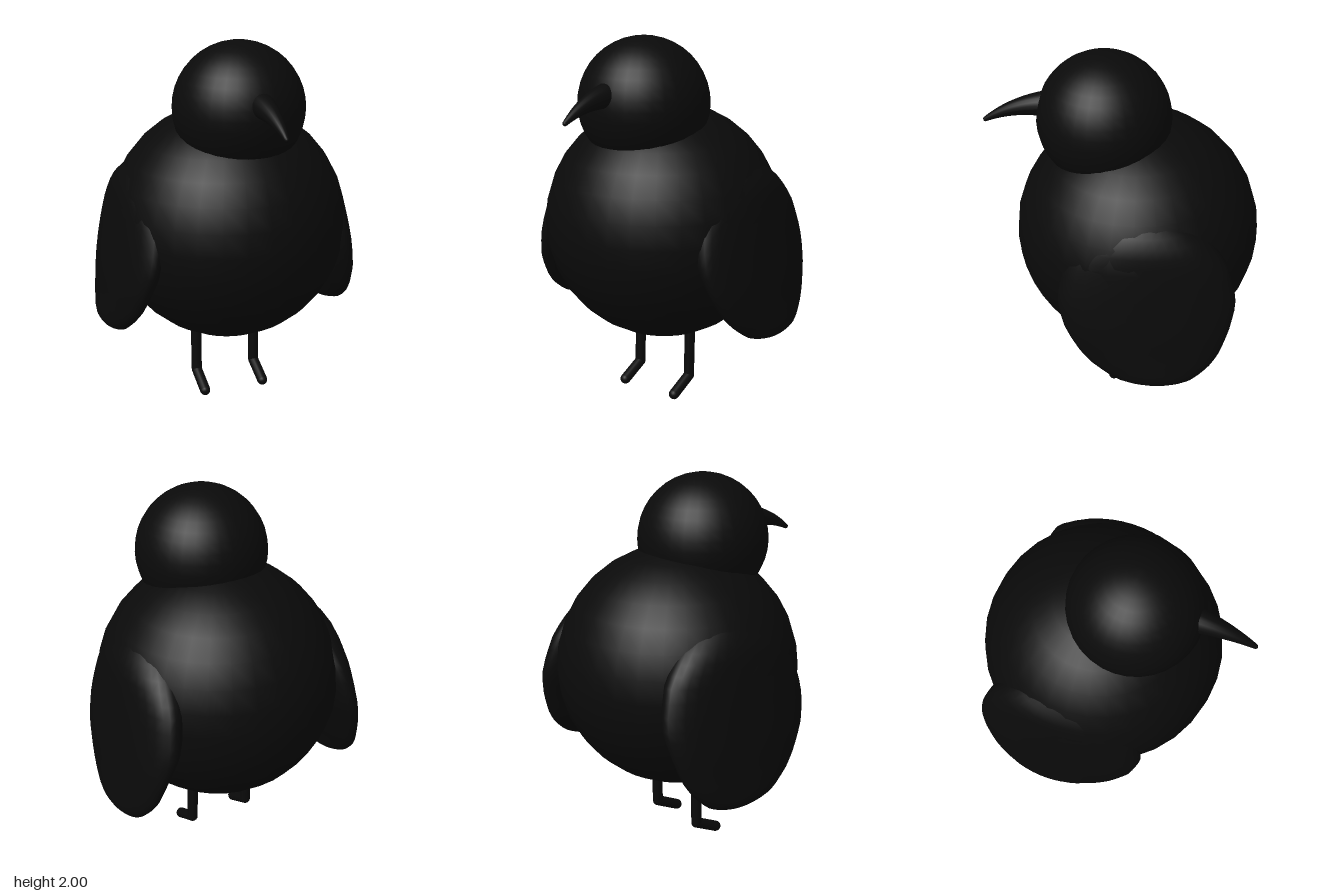
import * as THREE from 'three';

const V = (x, y, z) => new THREE.Vector3(x, y, z);
const black = new THREE.MeshStandardMaterial({ color: 0x0a0a0a });

function add(parent, name, geometry) {
  const mesh = new THREE.Mesh(geometry, black);
  mesh.name = name;
  parent.add(mesh);
  return mesh;
}

// Round-ended rod between two points
function rod(parent, name, a, b, r) {
  const mesh = add(parent, name, new THREE.CapsuleGeometry(r, a.distanceTo(b), 6, 16));
  mesh.position.copy(a).lerp(b, 0.5);
  mesh.quaternion.setFromUnitVectors(V(0, 1, 0), b.clone().sub(a).normalize());
}

// Wing sections from tip to shoulder: y, inner x, outer x, half depth, centre z
const wingSections = [
  [0.425, 0.625, 0.64, 0.03, -0.19],
  [0.435, 0.585, 0.68, 0.11, -0.19],
  [0.47, 0.565, 0.71, 0.21, -0.18],
  [0.55, 0.54, 0.705, 0.31, -0.165],
  [0.62, 0.51, 0.697, 0.365, -0.155],
  [0.75, 0.465, 0.685, 0.425, -0.14],
  [0.9, 0.4, 0.665, 0.455, -0.135],
  [1.1, 0.35, 0.635, 0.41, -0.13],
  [1.25, 0.32, 0.6, 0.3, -0.12],
  [1.38, 0.32, 0.5, 0.14, -0.1],
];

// Elliptical sections skinned into a closed, smooth wing
function wingGeometry(side) {
  const sides = 32, steps = 27;
  const pos = [], index = [];
  const curves = [
    new THREE.CatmullRomCurve3(wingSections.map(s => V(s[0], s[1], s[2]))),
    new THREE.CatmullRomCurve3(wingSections.map(s => V(s[3], s[4], 0))),
  ];
  for (let i = 0; i <= steps; i++) {
    const a = curves[0].getPoint(i / steps), b = curves[1].getPoint(i / steps);
    for (let j = 0; j < sides; j++) {
      const t = (j / sides) * Math.PI * 2;
      const x = (a.y + a.z) / 2 + ((a.z - a.y) / 2) * Math.cos(t);
      pos.push(side * x, a.x, b.y + b.x * Math.sin(t));
    }
  }
  const tri = (a, b, c) => (side > 0 ? index.push(a, b, c) : index.push(a, c, b));
  for (let i = 0; i < steps; i++) {
    for (let j = 0; j < sides; j++) {
      const k = (j + 1) % sides;
      const a = i * sides + j, b = i * sides + k;
      tri(a, a + sides, b);
      tri(b, a + sides, b + sides);
    }
  }
  // End caps
  for (let j = 1; j < sides - 1; j++) {
    const top = steps * sides;
    tri(0, j, j + 1);
    tri(top, top + j + 1, top + j);
  }
  const g = new THREE.BufferGeometry();
  g.setAttribute('position', new THREE.Float32BufferAttribute(pos, 3));
  g.setIndex(index);
  g.computeVertexNormals();
  return g;
}

// Curved tube whose rings shrink towards the tip
function beakGeometry(curve, r0, r1) {
  const n = 16, sides = 20;
  const g = new THREE.TubeGeometry(curve, n, r0, sides, false);
  const p = g.attributes.position, v = V(0, 0, 0);
  for (let i = 0; i <= n; i++) {
    const c = curve.getPointAt(i / n);
    const s = 1 + (r1 / r0 - 1) * (i / n);
    for (let j = 0; j <= sides; j++) {
      const k = i * (sides + 1) + j;
      v.fromBufferAttribute(p, k).sub(c).multiplyScalar(s).add(c);
      p.setXYZ(k, v.x, v.y, v.z);
    }
  }
  g.computeVertexNormals();
  return g;
}

export function createModel() {
  const bird = new THREE.Group();
  bird.name = 'bird';

  add(bird, 'body', new THREE.SphereGeometry(0.647, 32, 16)).position.set(0, 0.99, -0.075);
  add(bird, 'head', new THREE.SphereGeometry(0.348, 32, 20)).position.set(0, 1.652, 0.1);

  // Down-curved beak with a small rounded tip
  const path = new THREE.QuadraticBezierCurve3(V(0, 1.725, 0.38), V(0, 1.72, 0.56), V(0, 1.627, 0.71));
  const beak = new THREE.Group();
  beak.name = 'beak';
  add(beak, 'beakHorn', beakGeometry(path, 0.07, 0.013));
  add(beak, 'beakTip', new THREE.SphereGeometry(0.013, 12, 8)).position.set(0, 1.627, 0.71);
  bird.add(beak);

  for (const side of [1, -1]) {
    const label = side > 0 ? 'left' : 'right';
    add(bird, label + 'Wing', wingGeometry(side));

    // Leg and forward-pointing foot
    const x = side * 0.174 - 0.006;
    const leg = new THREE.Group();
    leg.name = label + 'Leg';
    const ankle = V(x, 0.1, -0.088);
    rod(leg, 'shin', V(x, 0.5, -0.097), ankle, 0.029);
    rod(leg, 'foot', ankle, V(x, 0.032, 0.05), 0.029);
    bird.add(leg);
  }
  return bird;
}
